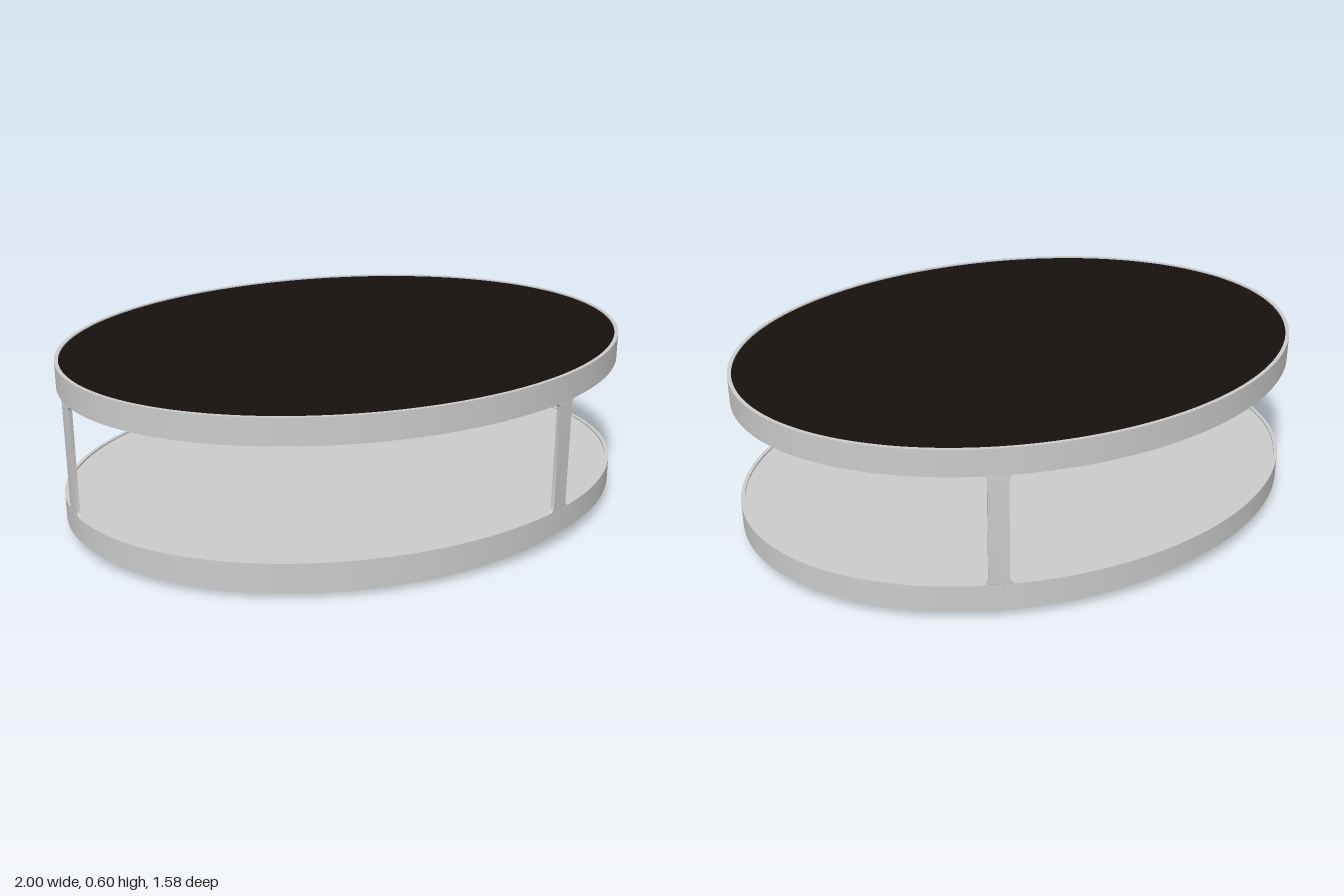
import * as THREE from 'three';
import { toCreasedNormals } from 'three/addons/utils/BufferGeometryUtils.js';

const A = 1.006, B = 0.782;   // half axes of the oval frame
const WALL = 0.013;           // frame thickness
const LOW = 0.13, HIGH = 0.51; // window bottom and top

const grey = new THREE.MeshStandardMaterial({ color: 0xcccccc });
const black = new THREE.MeshStandardMaterial({ color: 0x16110e });

function mesh(name, geometry, material = grey) {
  const m = new THREE.Mesh(toCreasedNormals(geometry, 0.6), material);
  m.name = name;
  return m;
}

// Upright oval slab between two heights, optionally hollowed out
function oval(name, a, b, y0, y1, material, wall = 0) {
  const shape = new THREE.Shape().absellipse(0, 0, a, b, 0, Math.PI * 2);
  if (wall) shape.holes.push(new THREE.Path().absellipse(0, 0, a - wall, b - wall, 0, Math.PI * 2, true));
  const g = new THREE.ExtrudeGeometry(shape, { depth: y1 - y0, bevelEnabled: false, curveSegments: 160 });
  g.rotateX(-Math.PI / 2).translate(0, y0, 0);
  return mesh(name, g, material);
}

// Post with filleted ends, bent to follow the oval at the given angle
function post(name, phi) {
  const h = 0.033, r = 0.018;
  const s = new THREE.Shape();
  s.moveTo(-h - r, LOW);
  s.lineTo(h + r, LOW);
  s.absarc(h + r, LOW + r, r, -Math.PI / 2, -Math.PI, true);
  s.lineTo(h, HIGH - r);
  s.absarc(h + r, HIGH - r, r, Math.PI, Math.PI / 2, true);
  s.lineTo(-h - r, HIGH);
  s.absarc(-h - r, HIGH - r, r, Math.PI / 2, 0, true);
  s.lineTo(-h, LOW + r);
  s.absarc(-h - r, LOW + r, r, 0, -Math.PI / 2, true);
  const g = new THREE.ExtrudeGeometry(s, { depth: WALL, bevelEnabled: false, curveSegments: 6 });
  const p = g.attributes.position;
  const speed = Math.hypot(A * Math.cos(phi), B * Math.sin(phi));
  for (let i = 0; i < p.count; i++) {
    const t = phi + p.getX(i) / speed;
    const d = p.getZ(i) - WALL;
    const n = new THREE.Vector2(B * Math.sin(t), A * Math.cos(t)).normalize();
    p.setXYZ(i, A * Math.sin(t) + d * n.x, p.getY(i), B * Math.cos(t) + d * n.y);
  }
  return mesh(name, g);
}

export function createModel() {
  const model = new THREE.Group();
  model.name = 'ovalTable';
  const a = A - WALL, b = B - WALL;

  // Recessed plinth, rims and panels
  model.add(
    oval('plinth', A * 0.937, B * 0.937, 0, 0.108, grey),
    oval('lowerRim', A, B, 0.045, LOW, grey, WALL),
    oval('lowerShelf', a, b, 0.105, 0.124, grey),
    oval('upperRim', A, B, HIGH, 0.6, grey, WALL),
    oval('tableTop', a, b, 0.575, 0.596, black),
  );

  // Three posts joining the rims
  model.add(
    post('frontPost', 0.459),
    post('backPost', Math.PI - 0.459),
    post('sidePost', -Math.PI / 2 + 0.047),
  );

  model.rotation.y = THREE.MathUtils.degToRad(10);
  const root = new THREE.Group();
  root.name = 'table';
  root.add(model);
  return root;
}
